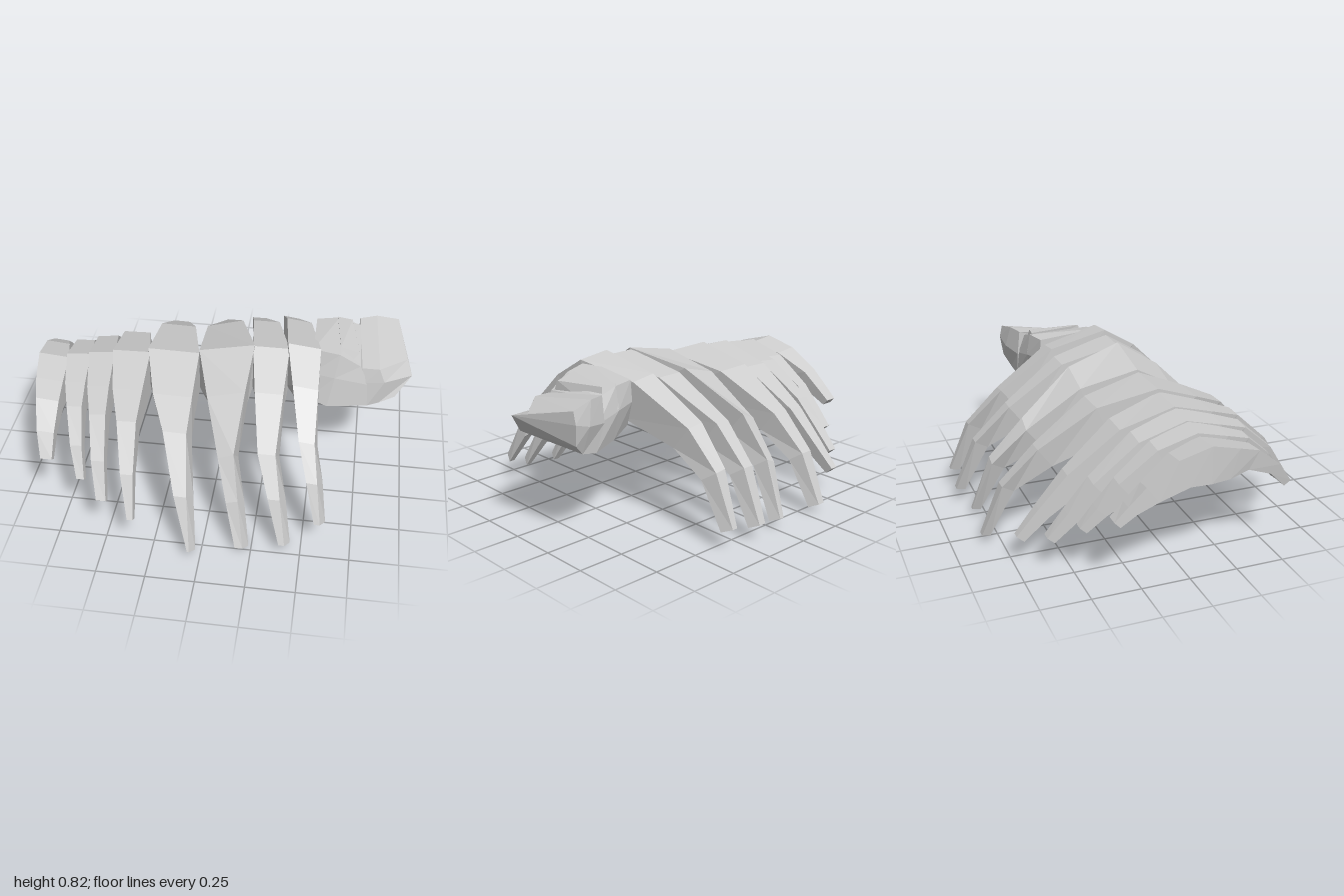
import * as THREE from 'three';

const bone = new THREE.MeshStandardMaterial({ color: 0xcccccc });
bone.name = 'paleBone';

// Closed, faceted loft through rings of [x, y, z] points
function loft(name, rings) {
  const n = rings[0].length, tris = [];
  for (let i = 0; i + 1 < rings.length; i++) {
    for (let j = 0; j < n; j++) {
      const k = (j + 1) % n, a = rings[i], b = rings[i + 1];
      tris.push([a[j], b[j], b[k]], [a[j], b[k], a[k]]);
    }
  }
  const first = rings[0], last = rings[rings.length - 1];
  for (let j = 1; j + 1 < n; j++) {
    tris.push([first[0], first[j], first[j + 1]], [last[0], last[j + 1], last[j]]);
  }
  // Turn the faces outward
  const volume = tris.reduce((sum, t) => {
    const [a, b, c] = t.map(p => new THREE.Vector3(...p));
    return sum + a.dot(b.cross(c));
  }, 0);
  if (volume < 0) tris.forEach(t => t.reverse());
  const geo = new THREE.BufferGeometry();
  geo.setAttribute('position', new THREE.Float32BufferAttribute(tris.flat(2), 3));
  geo.computeVertexNormals();
  const mesh = new THREE.Mesh(geo, bone);
  mesh.name = name;
  return mesh;
}

// Per segment: ridge [x0, x1, y0, y1], then mid [x0, x1] and tip [x0, x1, y, z] on each side
const RIBS = [
  { ridge: [-0.97, -0.81, 0.67, 0.655], fMid: [-0.92, -0.80], fTip: [-0.86, -0.80, 0.36, 0.60], bMid: [-0.99, -0.91], bTip: [-0.995, -0.93, 0.38, -0.385] },
  { ridge: [-0.82, -0.69, 0.675, 0.685], fMid: [-0.75, -0.67], fTip: [-0.66, -0.62, 0.30, 0.66], bMid: [-0.83, -0.76], bTip: [-0.82, -0.77, 0.28, -0.49] },
  { ridge: [-0.70, -0.56, 0.69, 0.705], fMid: [-0.62, -0.535], fTip: [-0.54, -0.49, 0.25, 0.75], bMid: [-0.73, -0.65], bTip: [-0.72, -0.67, 0.20, -0.62] },
  { ridge: [-0.57, -0.37, 0.715, 0.72], fMid: [-0.47, -0.37], fTip: [-0.37, -0.34, 0.20, 0.815], bMid: [-0.58, -0.50], bTip: [-0.585, -0.545, 0.16, -0.735] },
  { ridge: [-0.38, -0.11, 0.74, 0.735], fMid: [-0.23, -0.11], fTip: [-0.06, -0.05, 0.06, 0.86], bMid: [-0.36, -0.27], bTip: [-0.34, -0.30, 0.06, -0.85] },
  { ridge: [-0.11, 0.18, 0.75, 0.81], fMid: [0.05, 0.13], fTip: [0.17, 0.21, 0.03, 0.77], bMid: [-0.12, -0.04], bTip: [-0.045, -0.02, 0.06, -0.83] },
  { ridge: [0.17, 0.36, 0.80, 0.80], fMid: [0.25, 0.34], fTip: [0.39, 0.42, 0.06, 0.75], bMid: [0.10, 0.18], bTip: [0.14, 0.18, 0.10, -0.87] },
  { ridge: [0.35, 0.52, 0.83, 0.81], fMid: [0.45, 0.53], fTip: [0.56, 0.59, 0.15, 0.67], bMid: [0.28, 0.37], bTip: [0.33, 0.36, 0.13, -0.86] },
];

// Outward run, drop and thickness along each half of an arch
const FRONT_REAR = { run: [0, 0.32, 0.56, 0.83, 1], drop: [0, 0.15, 0.28, 0.63, 1] };
const FRONT_CHEST = { run: [0, 0.32, 0.65, 0.85, 1], drop: [0, 0.18, 0.47, 0.71, 1] };
const BACK_REAR = { run: [0, 0.35, 0.68, 0.86, 1], drop: [0, 0.14, 0.49, 0.77, 1] };
const BACK_CHEST = { run: [0, 0.35, 0.68, 0.88, 1], drop: [0, 0.09, 0.36, 0.62, 1] };
const THICK = [0.27, 0.22, 0.15, 0.09, 0.06];
const lerp = THREE.MathUtils.lerp;

function halfArch(ridge, ridgeZ, mid, tip, profile) {
  const xAt = (s, e) => [ridge[e], lerp(ridge[e], mid[e], 0.45), mid[e], lerp(mid[e], tip[e], 0.5), tip[e]][s];
  const yAt = (s, e) => lerp(ridge[2 + e], tip[2], profile.drop[s]);
  return THICK.map((t, s) => ({
    x0: xAt(s, 0), x1: xAt(s, 1), y0: yAt(s, 0), y1: yAt(s, 1), t,
    z: lerp(ridgeZ, tip[3], profile.run[s]),
  }));
}

function ribArch(r, i) {
  const ridgeZ = 0.11 - i * 0.006;
  const back = halfArch(r.ridge, ridgeZ, r.bMid, r.bTip, i < 4 ? BACK_REAR : BACK_CHEST).reverse();
  const front = halfArch(r.ridge, ridgeZ, r.fMid, r.fTip, i < 5 ? FRONT_REAR : FRONT_CHEST);
  const path = [...back, ...front.slice(1)];
  const scale = 0.72 + 0.04 * i;
  return loft('ribArch' + (i + 1), path.map((p, s) => {
    // Thickness points inward, square to the arch
    const a = path[Math.max(s - 1, 0)], b = path[Math.min(s + 1, path.length - 1)];
    const dy = b.y0 - a.y0, dz = b.z - a.z, len = Math.hypot(dy, dz), t = p.t * scale;
    const down = t * dz / len;
    const iz = s === 4 ? p.z : p.z + t * dy / len;
    // The free ends of the larger ribs twist slightly
    const lean = i > 3 ? 0.025 * THREE.MathUtils.clamp((Math.abs(s - 4) - 1) / 2, 0, 1) : 0;
    return [[p.x0, p.y0, p.z], [p.x1, p.y1, p.z], [p.x1 + lean, p.y1 - down, iz], [p.x0 + lean, p.y0 - down, iz]];
  }));
}

export function createModel() {
  const model = new THREE.Group();
  model.name = 'ribbedBody';
  RIBS.forEach((r, i) => model.add(ribArch(r, i)));

  // Neck block; ring order: mid front, top front, top back, mid back, low back, low front
  model.add(loft('neck', [
    [[0.48, 0.66, 0.08], [0.48, 0.80, 0.06], [0.48, 0.77, -0.27], [0.48, 0.66, -0.28], [0.46, 0.52, -0.22], [0.47, 0.51, 0.10]],
    [[0.60, 0.64, 0.08], [0.62, 0.77, 0.05], [0.60, 0.77, -0.30], [0.60, 0.65, -0.32], [0.60, 0.49, -0.28], [0.57, 0.475, 0.11]],
    [[0.78, 0.60, 0.06], [0.73, 0.70, 0.04], [0.72, 0.73, -0.30], [0.74, 0.62, -0.34], [0.76, 0.48, -0.34], [0.78, 0.48, 0.08]],
  ]));

  // Raised plate across the back of the neck
  model.add(loft('neckPlate', [
    [[0.62, 0.785, 0.0], [0.59, 0.78, -0.29], [0.60, 0.66, -0.32], [0.62, 0.66, 0.05]],
    [[0.72, 0.755, 0.0], [0.67, 0.775, -0.28], [0.70, 0.64, -0.32], [0.73, 0.64, 0.05]],
  ]));

  // Blunt head with a slanted end
  model.add(loft('head', [
    [[0.76, 0.61, 0.06], [0.74, 0.69, 0.04], [0.71, 0.755, -0.33], [0.71, 0.62, -0.345], [0.76, 0.48, -0.34], [0.78, 0.48, 0.08]],
    [[0.86, 0.62, 0.055], [0.83, 0.69, 0.04], [0.80, 0.76, -0.36], [0.83, 0.64, -0.385], [0.85, 0.50, -0.35], [0.84, 0.49, 0.06]],
    [[1.0, 0.64, 0.0], [0.975, 0.67, -0.10], [0.92, 0.735, -0.38], [0.92, 0.67, -0.395], [0.91, 0.56, -0.38], [0.92, 0.53, 0.05]],
  ]));
  return model;
}
